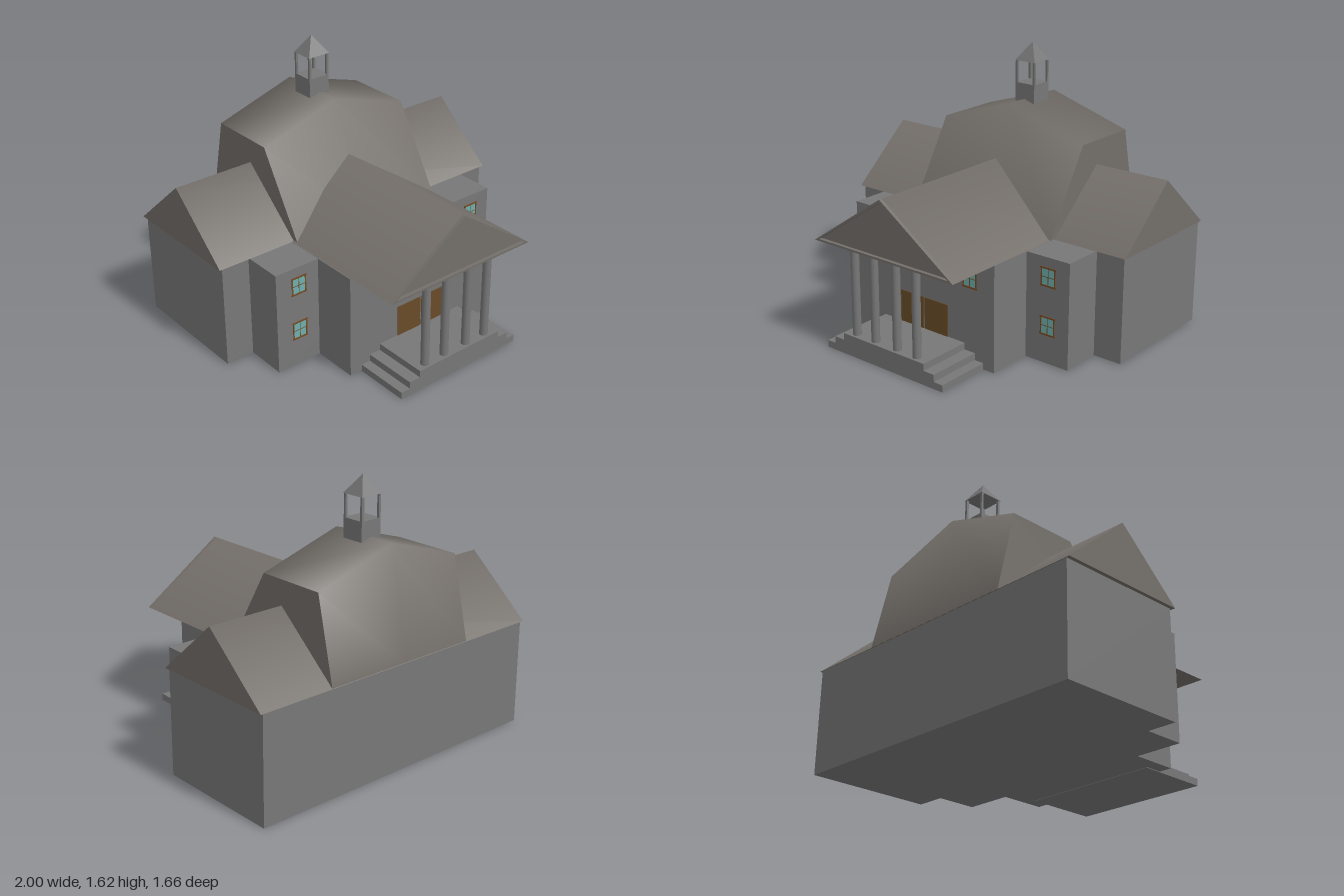
import * as THREE from 'three';

const wall = new THREE.MeshStandardMaterial({ color: 0x777777 });
const tile = new THREE.MeshStandardMaterial({ color: 0x736e69 });
const wood = new THREE.MeshStandardMaterial({ color: 0x694b28 });
const trim = new THREE.MeshStandardMaterial({ color: 0x744c25 });
const glass = new THREE.MeshStandardMaterial({ color: 0x6eadad });

function add(parent, name, geometry, material = wall) {
  const mesh = new THREE.Mesh(geometry, material);
  mesh.name = name;
  parent.add(mesh);
  return mesh;
}

// Box given by its limits on each axis
function block(parent, name, [x0, x1], [y0, y1], [z0, z1], material) {
  const mesh = add(parent, name, new THREE.BoxGeometry(x1 - x0, y1 - y0, z1 - z0), material);
  mesh.position.set((x0 + x1) / 2, (y0 + y1) / 2, (z0 + z1) / 2);
  return mesh;
}

function triangle(half, base, apex, Type = THREE.Shape) {
  return new Type([[-half, base], [half, base], [0, apex]].map(p => new THREE.Vector2(...p)));
}

// Roof lofted along x through sections of [x, y, z] points, front eave to back eave:
// slopes shaded softly over ridges, gable ends and underside flat
function roofGeometry(sections) {
  const rows = sections.map(row => row.map(p => ({
    p: new THREE.Vector3(...p), n: new THREE.Vector3(),
  })));
  const pos = [], nor = [];
  const put = (v, n) => { pos.push(...v.p); nor.push(...n); };
  const last = rows[0].length - 1;

  const quads = [];
  for (let s = 0; s + 1 < rows.length; s++) {
    for (let i = 0; i < last; i++) {
      quads.push([rows[s][i], rows[s + 1][i], rows[s + 1][i + 1], rows[s][i + 1]]);
    }
  }
  for (const [a, b, c, d] of quads) {
    const n = c.p.clone().sub(a.p).cross(d.p.clone().sub(b.p)).normalize();
    for (const v of [a, b, c, d]) v.n.add(n);
  }
  rows.flat().forEach(v => v.n.normalize());
  for (const [a, b, c, d] of quads) [a, b, d, b, c, d].forEach(v => put(v, v.n));

  const flat = (loop, n) => {
    for (let i = 1; i + 1 < loop.length; i++) [loop[0], loop[i], loop[i + 1]].forEach(v => put(v, n));
  };
  flat(rows[0], new THREE.Vector3(-1, 0, 0));
  flat([...rows.at(-1)].reverse(), new THREE.Vector3(1, 0, 0));
  flat([rows[0][0], rows[0][last], rows.at(-1)[last], rows.at(-1)[0]], new THREE.Vector3(0, -1, 0));

  const geo = new THREE.BufferGeometry();
  geo.setAttribute('position', new THREE.Float32BufferAttribute(pos, 3));
  geo.setAttribute('normal', new THREE.Float32BufferAttribute(nor, 3));
  return geo;
}

function gableGeometry(half, length) {
  return roofGeometry([0, length].map(x => [[x, 0.637, half], [x, 0.985, 0], [x, 0.637, -half]]));
}

// Four-pane window with a wooden frame and sill
function makeWindow(x, y, z) {
  const win = new THREE.Group();
  win.name = 'window';
  block(win, 'windowPane', [-0.044, 0.044], [-0.05, 0.05], [-0.005, 0.001], glass);
  for (const s of [-1, 1]) {
    block(win, 'windowJamb', [s * 0.045 - 0.004, s * 0.045 + 0.004], [-0.052, 0.052], [-0.005, 0.003], trim);
    block(win, 'windowRail', [-0.053, 0.053], [s * 0.052 - 0.005, s * 0.052 + 0.005], [-0.005, 0.0035], trim);
  }
  block(win, 'windowMullion', [-0.002, 0.002], [-0.047, 0.047], [-0.005, 0.002], trim);
  block(win, 'windowCrossbar', [-0.041, 0.041], [-0.002, 0.002], [-0.005, 0.002], trim);
  win.position.set(x, y, z);
  return win;
}

export function createModel() {
  const model = new THREE.Group();
  model.name = 'hall';

  // Walls step forward in three bays
  block(model, 'wingWalls', [-0.977, 0.984], [0.004, 0.638], [-0.825, -0.045]);
  block(model, 'middleWalls', [-0.801, 0.805], [0.004, 0.636], [-0.4, 0.208]);
  block(model, 'entranceWalls', [-0.512, 0.514], [0.004, 0.637], [-0.4, 0.49]);

  // Wing roof, steep hall roof with a low ridge, portico roof
  const wingRoof = add(model, 'wingRoof', gableGeometry(0.4, 2), tile);
  wingRoof.position.set(-1, 0, -0.43);
  const hallSections = [[-0.498, 1.13], [0.003, 1.288], [0.525, 1.13]].map(([x, top]) =>
    [[x, 0.64, 0.003], [x, top, -0.287], [x, top, -0.717], [x, 0.64, -0.828]]);
  add(model, 'hallRoof', roofGeometry(hallSections), tile);
  const porticoRoof = add(model, 'porticoRoof', gableGeometry(0.511, 1.1), tile);
  porticoRoof.rotation.y = -Math.PI / 2;
  porticoRoof.position.set(0.003, 0, -0.295);

  // Raised rim round the recessed pediment
  const rimShape = triangle(0.511, 0.637, 0.985);
  rimShape.holes.push(triangle(0.478, 0.649, 0.967, THREE.Path));
  const rim = add(model, 'pedimentRim',
    new THREE.ExtrudeGeometry(rimShape, { depth: 0.022, bevelEnabled: false }), tile);
  rim.position.set(0.003, 0, 0.805);

  // Porch with steps on both sides
  [[0.435, 0, 0.042], [0.375, 0.042, 0.084], [0.302, 0.084, 0.125]].forEach(([half, y0, y1]) =>
    block(model, 'porchStep', [0.003 - half, 0.003 + half], [y0, y1], [0.38, 0.83]));

  // Columns
  for (const x of [-0.231, -0.086, 0.078, 0.224]) {
    const column = add(model, 'column', new THREE.CylinderGeometry(0.0245, 0.0245, 0.515, 24));
    column.position.set(x, 0.3825, 0.791);
  }

  // Double door
  block(model, 'rightDoor', [-0.168, 0.003], [0.125, 0.318], [0.48, 0.494], wood);
  block(model, 'leftDoor', [0.012, 0.184], [0.125, 0.318], [0.48, 0.494], wood);

  // Windows
  for (const x of [-0.647, 0.663]) {
    for (const y of [0.52, 0.23]) model.add(makeWindow(x, y, 0.208));
  }
  for (const x of [-0.274, 0.343]) model.add(makeWindow(x, 0.52, 0.49));

  // Open bell turret
  const turret = new THREE.Group();
  turret.name = 'bellTurret';
  turret.position.set(0.004, 0, -0.49);
  model.add(turret);
  block(turret, 'turretBase', [-0.07, 0.07], [1.245, 1.382], [-0.07, 0.07]);
  for (const x of [-0.063, 0.063]) {
    for (const z of [-0.063, 0.063]) {
      block(turret, 'turretPost', [x - 0.007, x + 0.007], [1.382, 1.517], [z - 0.007, z + 0.007]);
    }
  }
  const capGeometry = new THREE.ConeGeometry(0.073 * Math.SQRT2, 0.108, 4).toNonIndexed();
  capGeometry.computeVertexNormals();
  const cap = add(turret, 'turretRoof', capGeometry);
  cap.rotation.y = Math.PI / 4;
  cap.position.y = 1.569;

  return model;
}
